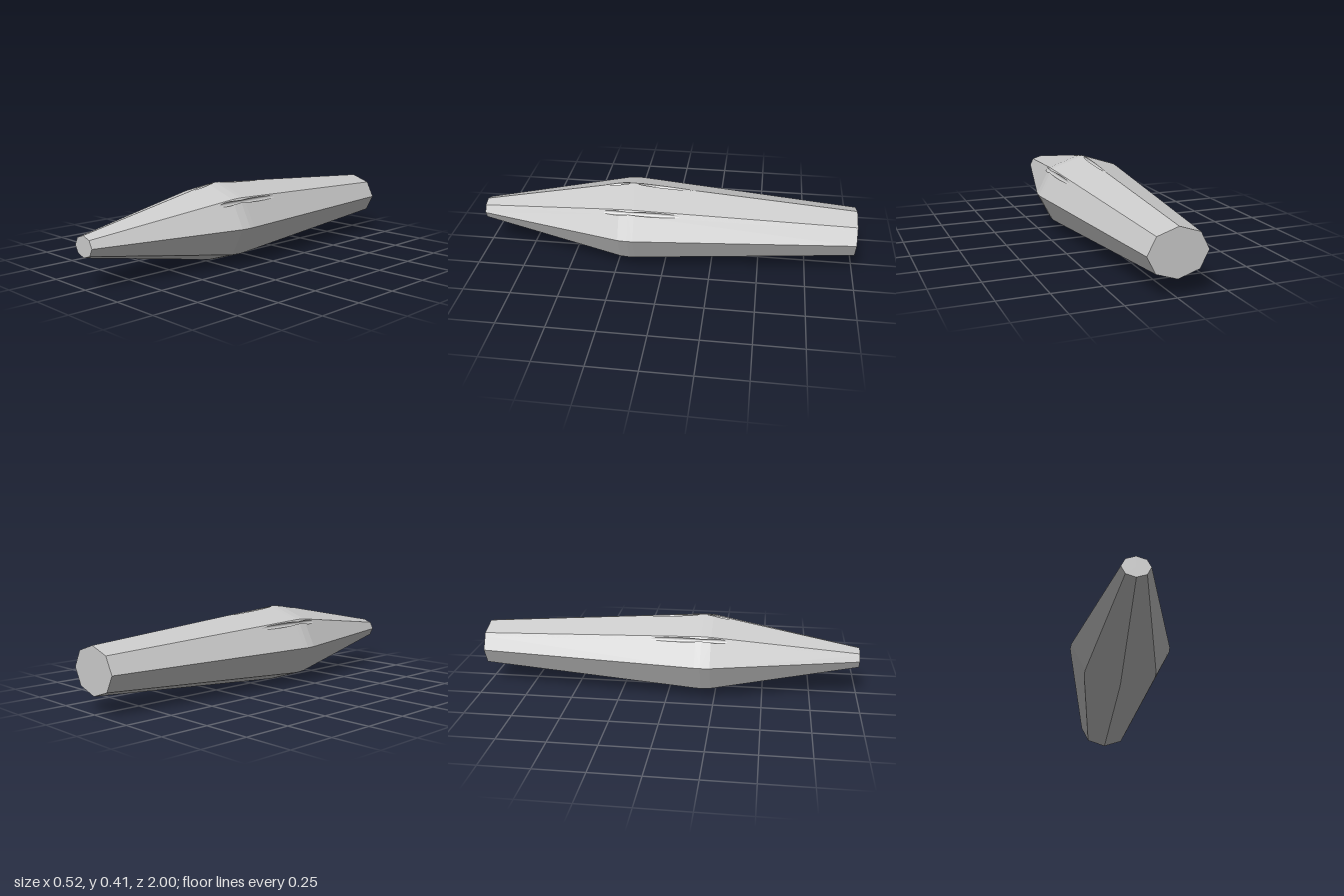
import * as THREE from 'three';

// Hull profile: [section scale, z] from each end towards the widest section
const FRONT = [[0.258, 1], [0.985, 0.23], [1, 0.18]];
const REAR = [[0.58, -1], [0.993, 0.15], [1, 0.18]];
const HALF_W = 0.26, HALF_H = 0.206, CENTRE_Y = 0.209;

// Lengthwise bores, relative to the section centre
const BORE_R = 0.0112, BORE_STEPS = 28;
const BORES = [[0.184, 0.124], [0, 0.193], [-0.184, 0.124]];

const corner = (i) => {
  const a = (i * Math.PI) / 4;
  return new THREE.Vector2(HALF_W * Math.cos(a), HALF_H * Math.sin(a));
};

// Point of the widest octagon in direction (cos a, sin a)
function rim(a) {
  const d = new THREE.Vector2(Math.cos(a), Math.sin(a));
  let best = Infinity;
  for (let i = 0; i < 8; i++) {
    const p = corner(i), e = corner(i + 1).sub(p);
    const n = new THREE.Vector2(e.y, -e.x);
    const t = n.dot(p) / n.dot(d);
    if (t > 0) best = Math.min(best, t);
  }
  return d.multiplyScalar(best);
}

// z on a profile at section scale s
function zAt(profile, s) {
  let i = 0;
  while (i < profile.length - 2 && s > profile[i + 1][0]) i++;
  const [s0, z0] = profile[i], [s1, z1] = profile[i + 1];
  return z0 + ((z1 - z0) * (s - s0)) / (s1 - s0);
}

// Section scales at which a ray to the rim point enters and leaves a bore
function crossing(p, bore) {
  const c = new THREE.Vector2(...bore);
  const b = p.dot(c), q = p.lengthSq();
  const root = Math.sqrt(Math.max(0, b * b - q * (c.lengthSq() - BORE_R * BORE_R)));
  return [Math.min(1, (b - root) / q), Math.min(1, (b + root) / q)];
}

// Collects flat-shaded quads, dropping collapsed triangles
function collector() {
  const pos = [];
  const tri = (a, b, c) => {
    const area = b.clone().sub(a).cross(c.clone().sub(a)).length();
    if (area > 1e-10) for (const v of [a, b, c]) pos.push(v.x, v.y, v.z);
  };
  return {
    quad(a, b, c, d, flip) {
      if (flip) [b, d] = [d, b];
      tri(a, b, c);
      tri(a, c, d);
    },
    mesh(name, side) {
      const g = new THREE.BufferGeometry();
      g.setAttribute('position', new THREE.Float32BufferAttribute(pos, 3));
      g.computeVertexNormals();
      const m = new THREE.Mesh(g, new THREE.MeshStandardMaterial({ color: 0xcccccc, flatShading: true, side }));
      m.name = name;
      return m;
    },
  };
}

export function createModel() {
  const group = new THREE.Group();
  group.name = 'taperedHull';
  const hull = collector(), caps = collector(), walls = collector();

  // Rays: the eight corners plus fine steps across each bore
  const angles = [];
  for (let i = 0; i < 8; i++) {
    const p = corner(i);
    angles.push((Math.atan2(p.y, p.x) + 2 * Math.PI) % (2 * Math.PI));
  }
  const spans = BORES.map(([x, y]) => {
    const mid = Math.atan2(y, x), half = Math.asin(BORE_R / Math.hypot(x, y));
    for (let k = 0; k <= BORE_STEPS; k++) angles.push(mid - half * Math.cos((k * Math.PI) / BORE_STEPS));
    return [mid - half, mid + half];
  });
  const rays = angles.sort((a, b) => a - b).filter((a, i, all) => i === 0 || a - all[i - 1] > 1e-7);

  const at = (p, s, z) => new THREE.Vector3(p.x * s, CENTRE_Y + p.y * s, z);

  // Skin between two rays, limited to a range of section scales on each
  function skin(pa, pb, ra, rb) {
    for (const profile of [FRONT, REAR]) {
      const v = (p, r, k) => {
        const s = THREE.MathUtils.clamp(profile[k][0], Math.max(r[0], profile[0][0]), r[1]);
        return at(p, s, zAt(profile, s));
      };
      // the clamped ends close the range at the bore edge
      for (let k = 0; k < profile.length - 1; k++) {
        hull.quad(v(pa, ra, k), v(pa, ra, k + 1), v(pb, rb, k + 1), v(pb, rb, k), profile === REAR);
      }
    }
  }

  // Bore wall between two rays, from the front skin to the rear skin
  function wall(pa, pb, sa, sb, flip) {
    walls.quad(at(pa, sa, zAt(FRONT, sa)), at(pa, sa, zAt(REAR, sa)),
      at(pb, sb, zAt(REAR, sb)), at(pb, sb, zAt(FRONT, sb)), flip);
  }

  rays.forEach((a, i) => {
    const b = i + 1 < rays.length ? rays[i + 1] : rays[0] + 2 * Math.PI;
    const pa = rim(a), pb = rim(b), mid = (a + b) / 2;
    const hit = spans.findIndex(([lo, hi]) => mid > lo && mid < hi);
    if (hit < 0) {
      skin(pa, pb, [0, 1], [0, 1]);
    } else {
      const [ea, xa] = crossing(pa, BORES[hit]), [eb, xb] = crossing(pb, BORES[hit]);
      skin(pa, pb, [0, ea], [0, eb]);
      skin(pa, pb, [xa, 1], [xb, 1]);
      wall(pa, pb, ea, eb, false);
      wall(pa, pb, xa, xb, true);
    }
    // Flat end caps
    for (const profile of [FRONT, REAR]) {
      const [s, z] = profile[0], c = at(pa, 0, z);
      caps.quad(c, at(pa, s, z), at(pb, s, z), c, profile === REAR);
    }
  });

  group.add(hull.mesh('hull', THREE.FrontSide));
  group.add(caps.mesh('endCaps', THREE.FrontSide));
  group.add(walls.mesh('boreWalls', THREE.DoubleSide));
  return group;
}
